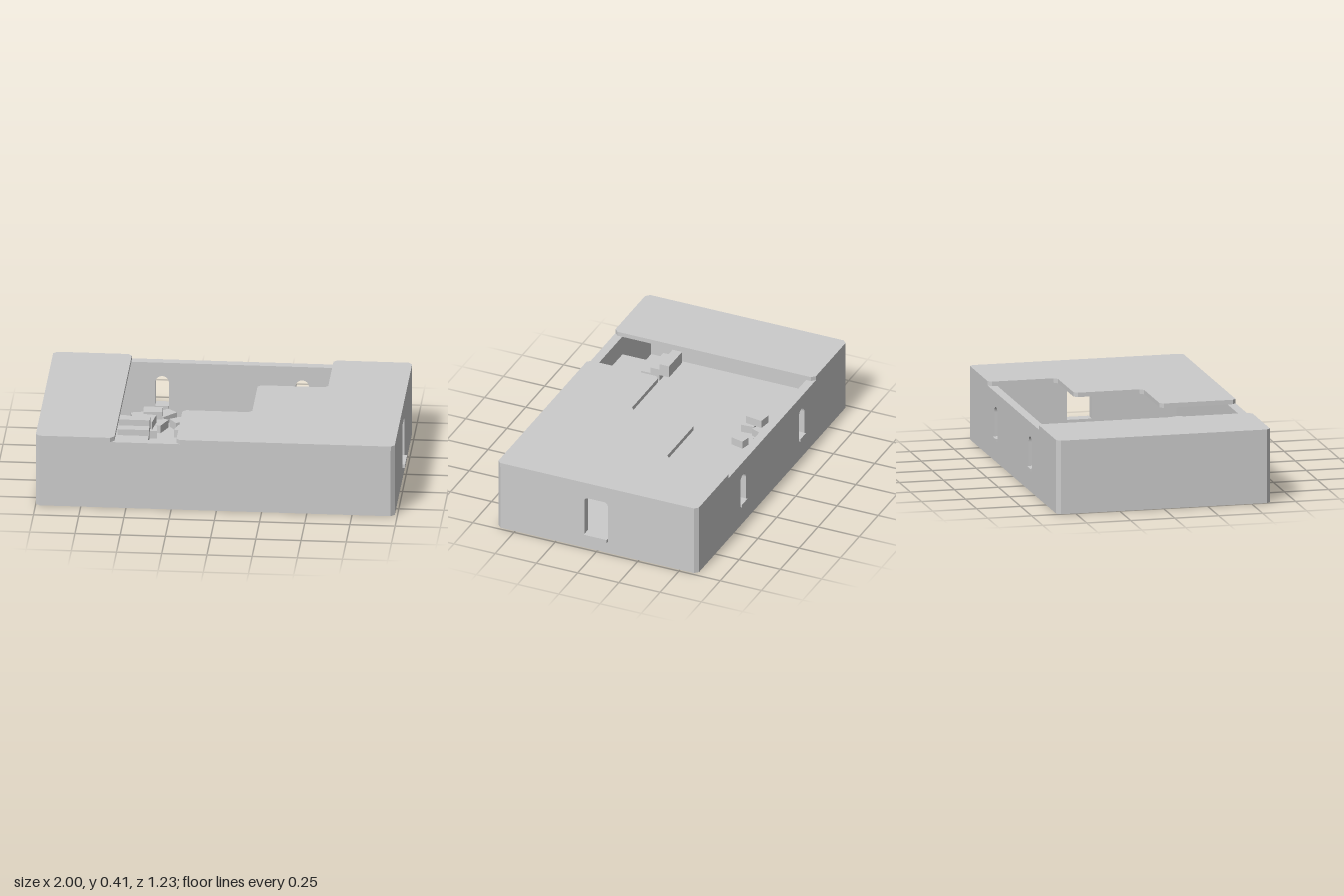
import * as THREE from 'three';

const mat = new THREE.MeshStandardMaterial({ color: 0xcccccc, flatShading: true });

// Overall limits of the building
const X0 = -1, X1 = 0.985, Z0 = -0.605, Z1 = 0.61;
const WALL = 0.05, CHAMFER = 0.022, FLOOR = 0.07, WALL_TOP = 0.39, ROOF_TOP = 0.415;

export function createModel() {
  const root = new THREE.Group();

  function add(name, geometry, parent = root) {
    const mesh = new THREE.Mesh(geometry, mat);
    mesh.name = name;
    parent.add(mesh);
    return mesh;
  }

  function group(name) {
    const g = new THREE.Group();
    g.name = name;
    root.add(g);
    return g;
  }

  // Box given by its limits
  function box(name, x0, x1, y0, y1, z0, z1, parent) {
    const m = add(name, new THREE.BoxGeometry(x1 - x0, y1 - y0, z1 - z0), parent);
    m.position.set((x0 + x1) / 2, (y0 + y1) / 2, (z0 + z1) / 2);
    return m;
  }

  // Horizontal slab from an outline of [x, z] points
  function slab(name, points, y0, y1, parent) {
    const shape = new THREE.Shape(points.map(([x, z]) => new THREE.Vector2(x, -z)));
    const geo = new THREE.ExtrudeGeometry(shape, { depth: y1 - y0, bevelEnabled: false });
    geo.rotateX(-Math.PI / 2).translate(0, y0, 0);
    return add(name, geo, parent);
  }

  // Upright wall panel with window openings
  function panel(a, b, holes) {
    const shape = new THREE.Shape();
    shape.moveTo(a, 0).lineTo(b, 0).lineTo(b, WALL_TOP).lineTo(a, WALL_TOP).closePath();
    shape.holes.push(...holes);
    return new THREE.ExtrudeGeometry(shape, { depth: WALL, bevelEnabled: false, curveSegments: 5 });
  }

  // Opening with rounded top corners; a radius of half the width makes an arch
  function opening(x0, x1, y0, y1, r) {
    const p = new THREE.Path();
    p.moveTo(x0, y0).lineTo(x0, y1 - r);
    p.absarc(x0 + r, y1 - r, r, Math.PI, Math.PI / 2, true);
    p.absarc(x1 - r, y1 - r, r, Math.PI / 2, 0, true);
    p.lineTo(x1, y0).closePath();
    return p;
  }

  // Cut the listed corners of an outline
  function chamfer(points, size) {
    return points.flatMap(([x, z, keep], i) => {
      if (keep) return [[x, z]];
      const n = points.length;
      return [points[(i + n - 1) % n], points[(i + 1) % n]].map(([px, pz]) => {
        const d = Math.hypot(px - x, pz - z);
        return [x + (px - x) / d * size, z + (pz - z) / d * size];
      });
    });
  }

  // Floor
  box('floor', X0 + WALL, X1 - WALL, 0, FLOOR, Z0 + WALL, Z1 - WALL);

  // Outer walls between the corner posts
  const walls = group('outerWalls');
  const xa = X0 + WALL, xb = X1 - WALL, za = Z0 + WALL, zb = Z1 - WALL;
  const archCentres = [-0.395, 0.38], archHalf = 0.037;
  add('frontWall', panel(xa, xb, []).translate(0, 0, zb), walls);
  const arches = archCentres.map(c => opening(c - archHalf, c + archHalf, 0.12, 0.31, archHalf));
  add('backWall', panel(xa, xb, arches).translate(0, 0, Z0), walls);
  add('rightWall', panel(-zb, -za, []).rotateY(Math.PI / 2).translate(X0, 0, 0), walls);
  add('leftWall', panel(-zb, -za, [opening(-0.08, 0.062, 0.07, 0.32, 0.022)])
    .rotateY(Math.PI / 2).translate(xb, 0, 0), walls);

  // Chamfered corner posts
  for (const [x, sx] of [[X0, 1], [X1, -1]]) {
    for (const [z, sz] of [[Z0, 1], [Z1, -1]]) {
      const outline = [[0, CHAMFER], [CHAMFER, 0], [WALL, 0], [WALL, WALL], [0, WALL]];
      slab('cornerPost', outline.map(([u, v]) => [x + sx * u, z + sz * v]), 0, WALL_TOP, walls);
    }
  }

  // Window sills
  const sills = group('windowSills');
  for (const c of archCentres) box('backSill', c - archHalf, c + archHalf, 0.12, 0.136, -0.615, -0.545, sills);
  box('sideSill', 0.925, 1, 0.07, 0.09, -0.062, 0.078, sills);

  // Two roof slabs around the stepped courtyard opening
  const roof = group('roof');
  slab('rightRoof', chamfer([[X0, Z0], [-0.565, Z0], [-0.565, Z1], [X0, Z1]], CHAMFER),
    WALL_TOP, ROOF_TOP, roof);
  slab('leftRoof', chamfer([
    [0.55, Z0], [X1, Z0], [X1, Z1], [-0.222, Z1],
    [-0.222, 0.177], [0.162, 0.177], [0.162, -0.215], [0.55, -0.215],
  ], 0.02), WALL_TOP, ROOF_TOP, roof);

  // Stairs: upper flight, corner landing, lower flight
  const stairs = group('stairs');
  const rise = 0.035, run = 0.057, landing = 0.275, thick = 0.07;
  box('landing', -0.57, -0.365, landing - thick, landing, 0.39, 0.56, stairs);
  for (let i = 0; i < 3; i++) {
    const top = landing + rise * (i + 1), z = 0.37 - run * i;
    box('upperStep', -0.57, -0.398, top - thick, top, z - run, z, stairs);
  }
  box('landingEdge', -0.57, -0.398, landing - thick, landing, 0.37, 0.39, stairs);
  for (let i = 0; i < 5; i++) {
    const top = landing - rise * (i + 1), x = -0.365 + run * i;
    box('lowerStep', x, x + run, Math.max(FLOOR, top - thick), top, 0.39, 0.56, stairs);
  }

  // Loose pile of crates: x, z, width, depth, turn, base height
  const crates = group('crates');
  const h = 0.045;
  [
    [-0.515, -0.45, 0.075, 0.10, 0.25, 0],
    [-0.37, -0.50, 0.075, 0.10, -0.75, 0],
    [-0.40, -0.37, 0.075, 0.10, -0.4, 0],
    [-0.45, -0.27, 0.10, 0.075, 0.08, 0],
    [-0.30, -0.40, 0.055, 0.07, 0.6, 0],
    [-0.27, -0.29, 0.055, 0.075, -0.25, 0],
    [-0.435, -0.435, 0.105, 0.075, 0.05, h],
    [-0.455, -0.31, 0.075, 0.10, -0.15, h],
  ].forEach(([x, z, w, d, turn, base]) => {
    const crate = add('crate', new THREE.BoxGeometry(w, h, d), crates);
    crate.position.set(x, FLOOR + base + h / 2, z);
    crate.rotation.y = turn;
  });

  return root;
}
